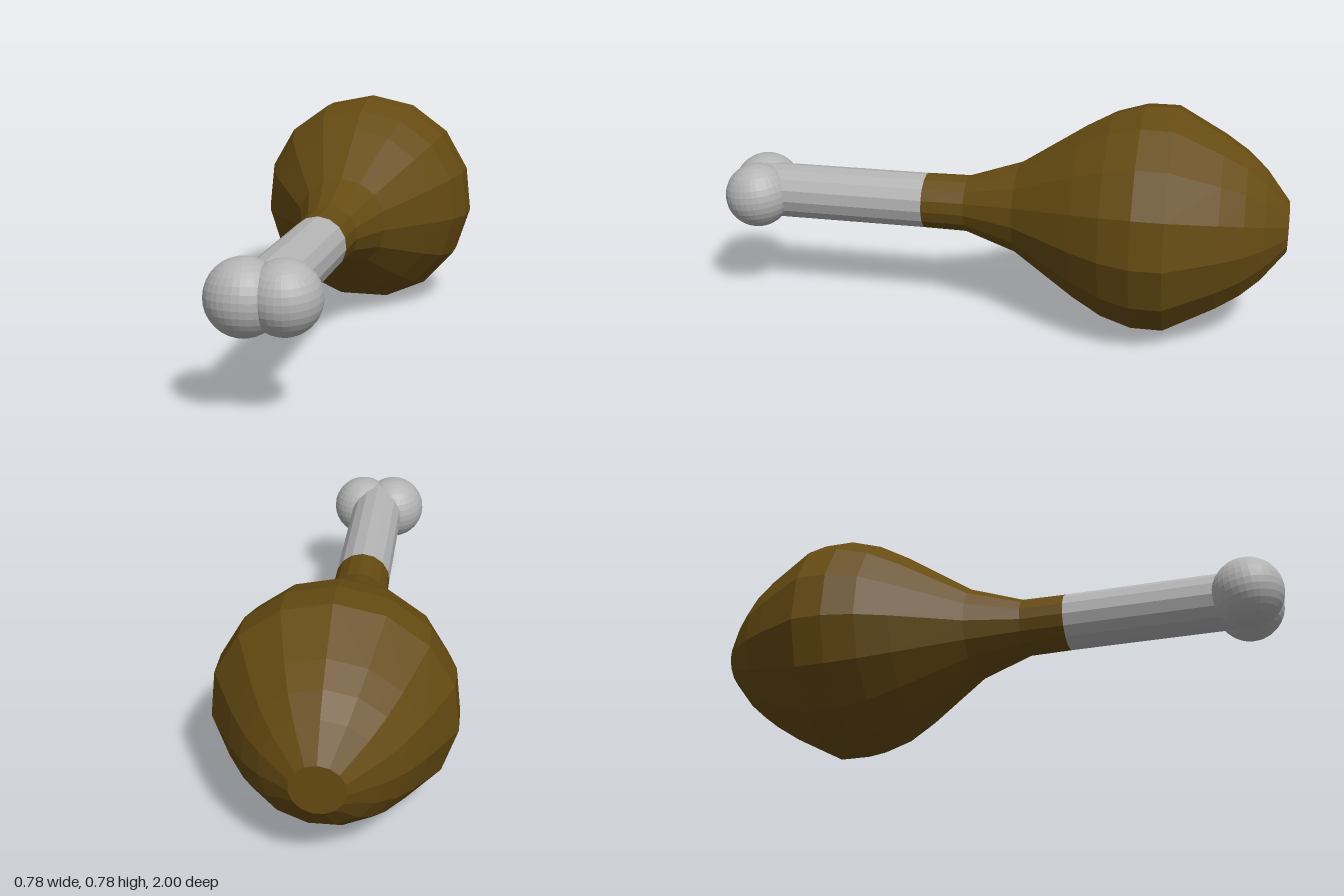
import * as THREE from 'three';

export function createModel() {
  const model = new THREE.Group();
  model.name = 'drumstick';
  const meat = new THREE.MeshStandardMaterial({ color: 0x664b12, flatShading: true });
  meat.name = 'roast brown';
  const bone = new THREE.MeshStandardMaterial({ color: 0xb4b4b4, flatShading: true });
  bone.name = 'bone grey';
  const SIDES = 15;
  const AXIS_Y = 0.383;

  // Lathe whose axis lies along z, with one corner pointing straight up.
  // Profile points are [radius, z], running from the back to the front.
  function turned(name, profile, material) {
    const points = profile.map(([r, z]) => new THREE.Vector2(r, z));
    const geometry = new THREE.LatheGeometry(points, SIDES, Math.PI);
    geometry.rotateX(Math.PI / 2);
    const mesh = new THREE.Mesh(geometry, material);
    mesh.name = name;
    mesh.position.y = AXIS_Y;
    model.add(mesh);
  }

  // Meat bulb, tapering into a straight collar around the bone
  turned('meat', [
    [0, -1], [0.087, -1], [0.19, -0.92], [0.25, -0.855], [0.303, -0.775],
    [0.392, -0.61], [0.392, -0.504], [0.36, -0.398], [0.303, -0.295],
    [0.161, -0.078], [0.1, 0.105], [0.098, 0.257],
  ], meat);

  // Bare shaft
  turned('boneShaft', [[0.098, 0.257], [0.098, 0.86], [0, 0.86]], bone);

  // Two knuckles at the tip, the right one slightly larger
  for (const [name, x, y, z, radius, tilt] of [
    ['rightKnuckle', -0.06, 0.376, 0.88, 0.12, -0.12],
    ['leftKnuckle', 0.06, 0.38, 0.872, 0.115, 0.12],
  ]) {
    const knuckle = new THREE.Mesh(new THREE.SphereGeometry(radius, 32, 16), bone);
    knuckle.name = name;
    knuckle.position.set(x, y, z);
    knuckle.rotation.x = tilt;
    model.add(knuckle);
  }

  return model;
}
